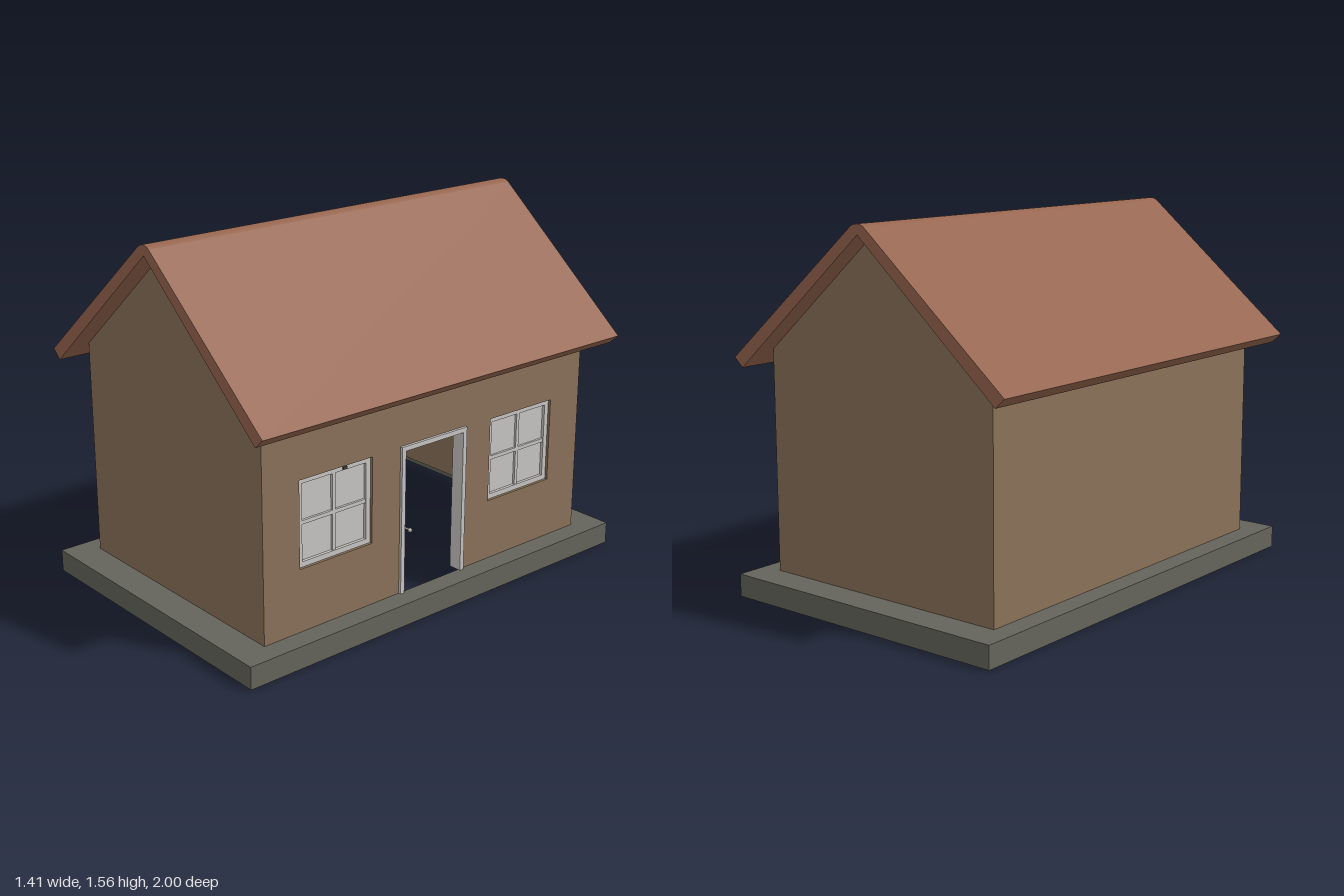
import * as THREE from 'three';

const mat = (name, color, side = THREE.FrontSide) => {
  const m = new THREE.MeshStandardMaterial({ color, side });
  m.name = name;
  return m;
};

export function createModel() {
  const wall = mat('tan wall', 0x8a7259, THREE.DoubleSide);
  const roofRed = mat('roof red', 0x96654f);
  const stone = mat('foundation grey', 0x65645b, THREE.DoubleSide);
  const trim = mat('trim white', 0xc8c6c3);
  const brass = mat('handle metal', 0xc9c2ae);
  const dark = mat('latch dark', 0x4a443c);

  const house = new THREE.Group();
  house.name = 'house';

  const add = (parent, name, geo, material, x = 0, y = 0, z = 0) => {
    const m = new THREE.Mesh(geo, material);
    m.name = name;
    m.position.set(x, y, z);
    parent.add(m);
    return m;
  };
  const rect = (x0, y0, x1, y1, Type = THREE.Shape) =>
    new Type([[x0, y0], [x1, y0], [x1, y1], [x0, y1]].map(p => new THREE.Vector2(...p)));
  const extrude = (shape, depth) =>
    new THREE.ExtrudeGeometry(shape, { depth, bevelEnabled: false, curveSegments: 8 });
  const box = (w, h, d) => new THREE.BoxGeometry(w, h, d);

  const W = 0.575, L = 0.865, FLOOR = 0.095, EAVE = 1.02, PEAK = 1.515;
  const BX = 0.666, BZ = 1;

  // Hollow foundation: top ring and four skirts, open underneath
  const ring = rect(-BX, -BZ, BX, BZ);
  ring.holes.push(rect(-W, -L, W, L, THREE.Path));
  add(house, 'foundationTop', new THREE.ShapeGeometry(ring), stone, 0, FLOOR, 0).rotation.x = -Math.PI / 2;
  for (let i = 0; i < 4; i++) {
    const long = i % 2 === 1;
    const skirt = new THREE.PlaneGeometry(long ? 2 * BZ : 2 * BX, FLOOR);
    skirt.translate(0, 0, long ? BX : BZ);
    add(house, 'foundationSide', skirt, stone, 0, FLOOR / 2, 0).rotation.y = i * Math.PI / 2;
  }

  // Gable walls
  const gable = new THREE.Shape([[-W, FLOOR], [W, FLOOR], [W, EAVE], [0, PEAK], [-W, EAVE]]
    .map(p => new THREE.Vector2(...p)));
  for (const s of [1, -1]) {
    add(house, s > 0 ? 'frontGable' : 'backGable', new THREE.ShapeGeometry(gable), wall, 0, 0, s * L)
      .rotation.y = s > 0 ? 0 : Math.PI;
  }

  // Plain long wall
  add(house, 'rightWall', new THREE.PlaneGeometry(2 * L, EAVE - FLOOR), wall, -W, (EAVE + FLOOR) / 2, 0)
    .rotation.y = -Math.PI / 2;

  // Entrance wall: local x runs along the wall, local z points outward
  const side = new THREE.Group();
  side.name = 'entranceSide';
  side.position.x = W;
  side.rotation.y = Math.PI / 2;
  house.add(side);

  const winX = 0.507, winW = 0.365, winY0 = 0.36, winY1 = 0.725;
  const doorHalf = 0.178, doorTop = 0.73, jamb = 0.02;
  const face = new THREE.Shape([
    [-L, FLOOR], [-doorHalf, FLOOR], [-doorHalf, doorTop], [doorHalf, doorTop],
    [doorHalf, FLOOR], [L, FLOOR], [L, EAVE], [-L, EAVE]
  ].map(p => new THREE.Vector2(...p)));
  for (const s of [-1, 1]) {
    face.holes.push(rect(s * winX - winW / 2, winY0, s * winX + winW / 2, winY1, THREE.Path));
  }
  add(side, 'entranceWall', extrude(face, 0.02), wall, 0, 0, -0.02);

  // Open doorway with its frame
  const frame = new THREE.Shape([
    [-doorHalf, FLOOR], [-doorHalf + jamb, FLOOR], [-doorHalf + jamb, doorTop - jamb],
    [doorHalf - jamb, doorTop - jamb], [doorHalf - jamb, FLOOR], [doorHalf, FLOOR],
    [doorHalf, doorTop], [-doorHalf, doorTop]
  ].map(p => new THREE.Vector2(...p)));
  add(side, 'doorFrame', extrude(frame, 0.06), trim, 0, 0, -0.048);

  // Door handle
  add(side, 'doorKnob', new THREE.SphereGeometry(0.009, 12, 8), brass, -0.125, 0.36, 0.005);
  add(side, 'knobStem', new THREE.CylinderGeometry(0.004, 0.004, 0.03, 10), brass, -0.125, 0.36, -0.01)
    .rotation.x = Math.PI / 2;

  // Recessed four-pane windows
  const winH = winY1 - winY0, rim = 0.022;
  for (const s of [-1, 1]) {
    const win = new THREE.Group();
    win.name = s < 0 ? 'frontWindow' : 'backWindow';
    win.position.set(s * winX, (winY0 + winY1) / 2, 0);
    side.add(win);
    const outline = rect(-winW / 2, -winH / 2, winW / 2, winH / 2);
    outline.holes.push(rect(-winW / 2 + rim, -winH / 2 + rim, winW / 2 - rim, winH / 2 - rim, THREE.Path));
    add(win, 'windowFrame', extrude(outline, 0.02), trim, 0, 0, -0.032);
    add(win, 'verticalBar', box(0.016, winH - 2 * rim, 0.014), trim, 0, 0, -0.022);
    add(win, 'horizontalBar', box(winW - 2 * rim, 0.016, 0.014), trim, 0, 0, -0.022);
    add(win, 'pane', box(winW - rim, winH - rim, 0.006), trim, 0, 0, -0.028);
    if (s < 0) add(win, 'latch', box(0.02, 0.01, 0.006), dark, 0.05, winH / 2 - 0.012, -0.01);
  }

  // Roof: one folded slab with a rounded ridge
  const roof = new THREE.Shape();
  roof.moveTo(0, PEAK);
  roof.lineTo(0.66, 0.947);
  roof.lineTo(0.703, 0.986);
  roof.lineTo(0.035, 1.545);
  roof.quadraticCurveTo(0.02, 1.556, 0, 1.556);
  roof.quadraticCurveTo(-0.02, 1.556, -0.035, 1.545);
  roof.lineTo(-0.703, 0.986);
  roof.lineTo(-0.66, 0.947);
  roof.closePath();
  add(house, 'roof', extrude(roof, 1.912), roofRed, 0, 0, -0.956);

  return house;
}
